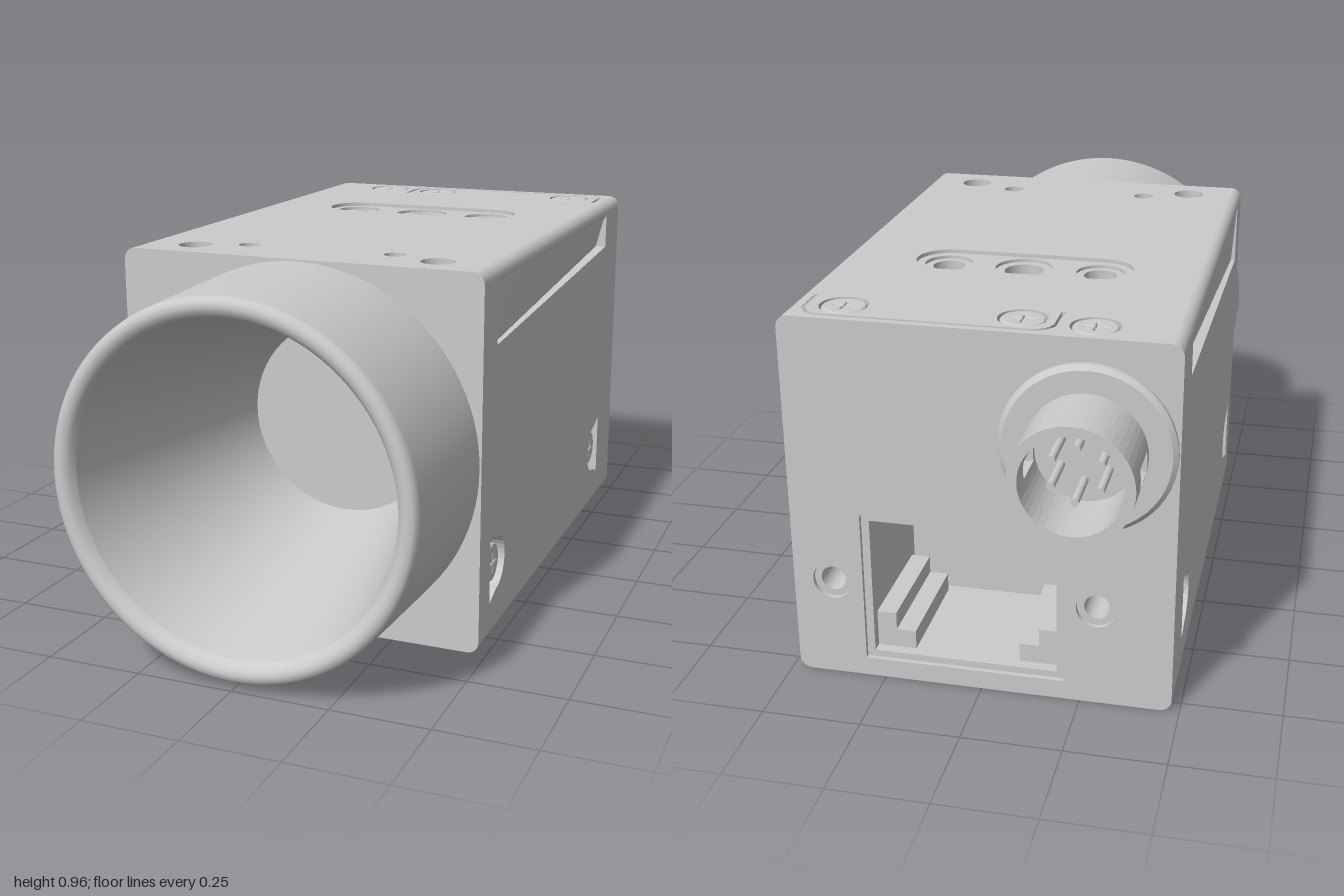
import * as THREE from 'three';

const mat = new THREE.MeshStandardMaterial({ color: 0xcccccc, side: THREE.DoubleSide });
const V = (x, y) => new THREE.Vector2(x, y);
const rect = (x0, y0, x1, y1) => [V(x0, y0), V(x1, y0), V(x1, y1), V(x0, y1)];
const arc = (x, y, r, a0, a1, n = 32) =>
  Array.from({ length: n + 1 }, (_, i) => {
    const a = a0 + (a1 - a0) * i / n;
    return V(x + r * Math.cos(a), y + r * Math.sin(a));
  });
const circle = (x, y, r, n = 32) => arc(x, y, r, 0, Math.PI * 2, n).slice(0, n);
const roundRect = (x0, y0, x1, y1, r) => [
  ...arc(x1 - r, y0 + r, r, -Math.PI / 2, 0, 6), ...arc(x1 - r, y1 - r, r, 0, Math.PI / 2, 6),
  ...arc(x0 + r, y1 - r, r, Math.PI / 2, Math.PI, 6), ...arc(x0 + r, y0 + r, r, Math.PI, Math.PI * 1.5, 6)];

function add(parent, name, geo, x = 0, y = 0, z = 0) {
  const m = new THREE.Mesh(geo, mat);
  m.name = name;
  m.position.set(x, y, z);
  parent.add(m);
  return m;
}

// Flat face with sunken pockets; each pocket is { pts, depth(x, y), pockets }
function panel(parent, name, pts, pockets = [], height = () => 0) {
  const shape = new THREE.Shape(pts);
  shape.holes = pockets.map(p => new THREE.Path(p.pts));
  const geo = new THREE.ShapeGeometry(shape);
  const pos = geo.attributes.position;
  for (let i = 0; i < pos.count; i++) pos.setZ(i, height(pos.getX(i), pos.getY(i)));
  geo.computeVertexNormals();
  add(parent, name, geo);
  for (const p of pockets) {
    const floor = (x, y) => height(x, y) - p.depth(x, y);
    const wall = [];
    p.pts.forEach((a, i) => {
      const b = p.pts[(i + 1) % p.pts.length];
      const at = [a.x, a.y, height(a.x, a.y)], bt = [b.x, b.y, height(b.x, b.y)];
      const af = [a.x, a.y, floor(a.x, a.y)], bf = [b.x, b.y, floor(b.x, b.y)];
      wall.push(...at, ...bt, ...bf, ...at, ...bf, ...af);
    });
    const wg = new THREE.BufferGeometry();
    wg.setAttribute('position', new THREE.Float32BufferAttribute(wall, 3));
    wg.computeVertexNormals();
    add(parent, name + 'PocketWall', wg);
    panel(parent, name + 'PocketFloor', p.pts, p.pockets, floor);
  }
}
const hole = (pts, d, pockets = []) => ({ pts, depth: () => d, pockets });

function face(root, name, x, y, z, rx, ry) {
  const g = new THREE.Group();
  g.name = name;
  g.position.set(x, y, z);
  g.rotation.set(rx, ry, 0);
  root.add(g);
  return g;
}

// Cross-head screw facing +z of its parent
function screw(parent, x, y, z, r = 0.045) {
  const w = r * 0.14, l = r * 0.6;
  const cross = [[w, w], [w, l], [-w, l], [-w, w], [-l, w], [-l, -w], [-w, -w], [-w, -l], [w, -l], [w, -w], [l, -w], [l, w]];
  const shape = new THREE.Shape(circle(0, 0, r * 0.88, 28));
  shape.holes.push(new THREE.Path(cross.map(c => V(...c))));
  const bevel = r * 0.12;
  add(parent, 'screwHead', new THREE.ExtrudeGeometry(shape, {
    depth: 0.012, bevelSize: bevel, bevelThickness: 0.004, bevelSegments: 2, curveSegments: 8 }), x, y, z);
}

export function createModel() {
  const root = new THREE.Group();
  root.name = 'boxCamera';
  const H = Math.PI / 2, W = 0.48, F = 0.6, B = -0.79, R = 0.03, midZ = (F + B) / 2;

  // Rounded long edges of the housing
  for (const x of [-1, 1]) for (const y of [R, 0.96 - R]) {
    const edge = add(root, 'housingEdge', new THREE.CylinderGeometry(R, R, F - B, 24, 1, true), x * (W - R), y, midZ);
    edge.rotation.x = H;
  }

  // Front face with lens opening
  const outline = roundRect(-W, 0, W, 0.96, R);
  const front = face(root, 'frontFace', 0, 0, F, 0, 0);
  const frontShape = new THREE.Shape(outline);
  frontShape.holes.push(new THREE.Path(circle(0, 0.48, 0.45, 64)));
  add(front, 'frontPlate', new THREE.ShapeGeometry(frontShape));

  // Sides: tapered relief with a ledge, and two screw pockets
  for (const s of [1, -1]) {
    const side = face(root, s > 0 ? 'leftSide' : 'rightSide', s * W, 0, 0, 0, s * H);
    const top = 0.96 - R;
    const relief = {
      pts: [V(-0.49 * s, 0.765), V(0.63 * s, 0.825), V(0.63 * s, top), V(-0.49 * s, top)],
      depth: (x, y) => {
        const t = (x * s + 0.49) / 1.12;
        return (0.012 + 0.018 * t) * Math.min(1, (top - y) / (top - 0.765 - 0.06 * t) + 0.12);
      },
    };
    const cup = (z, dir) => hole([V(-s * (z + 0.055 * dir), 0.1),
      ...arc(z, 0.19, 0.07, -H, H, 16).map(p => V(-s * (z - dir * (p.x - z)), p.y)),
      V(-s * (z + 0.055 * dir), 0.28)], 0.03);
    panel(side, 'sidePlate', rect(...(s > 0 ? [-F, R, -B, top] : [B, R, F, top])),
      [relief, cup(0.46, 1), cup(-0.565, -1)]);
    for (const z of [0.46, -0.565]) screw(side, -s * z, 0.19, -0.026, 0.05);
  }

  // Top: mounting slot, locating holes, rear cover seam and screws (local y = -z)
  const topFace = face(root, 'topFace', 0, 0.96, 0, -H, 0);
  const slot = [...arc(0.2, 0.285, 0.085, -H, H, 16), ...arc(-0.2, 0.285, 0.085, H, 3 * H, 16)];
  const bore = (x, r) => hole(circle(x, 0.285, r), 0.008, [hole(circle(x, 0.285, r * 0.68), 0.08)]);
  const seam = [V(-0.18, 0.63), V(-0.18, 0.71), ...arc(-0.12, 0.71, 0.06, Math.PI, H, 6),
    ...arc(0.38, 0.71, 0.06, H, 0, 6), V(0.44, 0.63), V(0.43, 0.63),
    ...arc(0.38, 0.71, 0.05, 0, H, 6), ...arc(-0.12, 0.71, 0.05, H, Math.PI, 6), V(-0.17, 0.63)];
  const topScrews = [[-0.265, 0.71], [-0.09, 0.69], [0.345, 0.69]];
  panel(topFace, 'topPlate', rect(-W + R, -F, W - R, -B), [
    hole(slot, 0.01, [bore(-0.2, 0.062), bore(0, 0.074), bore(0.2, 0.062)]),
    hole(seam, 0.012),
    ...topScrews.map(([x, y]) => hole(circle(x, y, 0.06), 0.018)),
    ...[-1, 1].flatMap(s => [hole(circle(s * 0.33, -0.5, 0.043), 0.06), hole(circle(s * 0.2, -0.45, 0.028), 0.06)]),
  ]);
  topScrews.forEach(([x, y]) => screw(topFace, x, y, -0.016, 0.054));

  // Underside: shallow recess deepening to the rear (local y = z)
  const under = face(root, 'underside', 0, 0, 0, H, 0);
  panel(under, 'underPlate', rect(-W + R, B, W - R, F), [{
    pts: roundRect(-0.42, -0.63, 0.42, 0.49, 0.03), depth: (x, y) => 0.006 + 0.026 * (0.49 - y) / 1.12 }]);

  // Rear face: network socket and two threaded holes (local x = -x)
  const back = face(root, 'rearFace', 0, 0, B, 0, Math.PI);
  const cx = -0.045;
  panel(back, 'rearPlate', outline, [
    hole(rect(cx - 0.255, 0.05, cx + 0.255, 0.455), 0.012, [hole(rect(cx - 0.235, 0.068, cx + 0.235, 0.437), 0.35)]),
    ...[-1, 1].map(s => hole(circle(cx + s * 0.335, 0.265, 0.05), 0.012, [hole(circle(cx + s * 0.335, 0.265, 0.032), 0.1)])),
  ]);
  for (const s of [-1, 1]) {
    add(back, 'socketKey', new THREE.BoxGeometry(0.1, 0.05, 0.3), cx + s * 0.185, 0.093, -0.19);
    add(back, 'socketKeyStep', new THREE.BoxGeometry(0.05, 0.05, 0.3), cx + s * 0.21, 0.14, -0.19);
  }
  for (let i = 0; i < 8; i++) {
    const pin = add(back, 'socketContact', new THREE.BoxGeometry(0.012, 0.012, 0.22), cx - 0.12 + i * 0.034, 0.37, -0.24);
    pin.rotation.x = -0.4;
  }

  // Round power connector on the rear face
  const plug = new THREE.Group();
  plug.name = 'roundConnector';
  plug.position.set(0.265, 0.69, 0);
  back.add(plug);
  const lathe = (pts, n) => new THREE.LatheGeometry(pts.map(p => V(...p)), n).rotateX(H);
  add(plug, 'connectorFlange', lathe([[0.212, 0], [0.212, 0.012], [0.212, 0.012], [0.2, 0.022], [0.2, 0.022], [0.1, 0.022]], 48));
  const ringLayer = (z0, z1, gap) => {
    for (const a of [0, Math.PI]) {
      const pts = [...arc(0, 0, 0.145, a + gap, a + Math.PI - gap, 24), ...arc(0, 0, 0.12, a + Math.PI - gap, a + gap, 24)];
      add(plug, 'connectorBarrel', new THREE.ExtrudeGeometry(new THREE.Shape(pts), { depth: z1 - z0, bevelEnabled: false }), 0, 0, z0);
    }
  };
  ringLayer(0, 0.045, 0);
  ringLayer(0.045, 0.145, 0.18);
  ringLayer(0.145, 0.21, 0);
  add(plug, 'connectorInsert', new THREE.CircleGeometry(0.121, 32), 0, 0, 0.03);
  for (let i = 0; i < 6; i++) {
    const a = i * Math.PI / 3 + 0.5;
    const pin = add(plug, 'connectorPin', new THREE.CylinderGeometry(0.01, 0.01, 0.12, 10), 0.065 * Math.cos(a), 0.065 * Math.sin(a), 0.09);
    pin.rotation.x = H;
  }

  // Lens mount: outer barrel, rounded lip, tapering bore and end disc
  add(root, 'lensBarrel', lathe([[0.475, F], [0.475, 0.62], [0.464, 0.975], [0.461, 0.99], [0.452, 0.998],
    [0.44, 1], [0.428, 0.997], [0.417, 0.988], [0.41, 0.972]], 96), 0, 0.48, 0);
  add(root, 'lensBore', lathe([[0.41, 0.972], [0.265, 0.3]], 96), 0, 0.48, 0);
  add(root, 'lensEndDisc', new THREE.CircleGeometry(0.265, 64), 0, 0.48, 0.3);
  return root;
}
